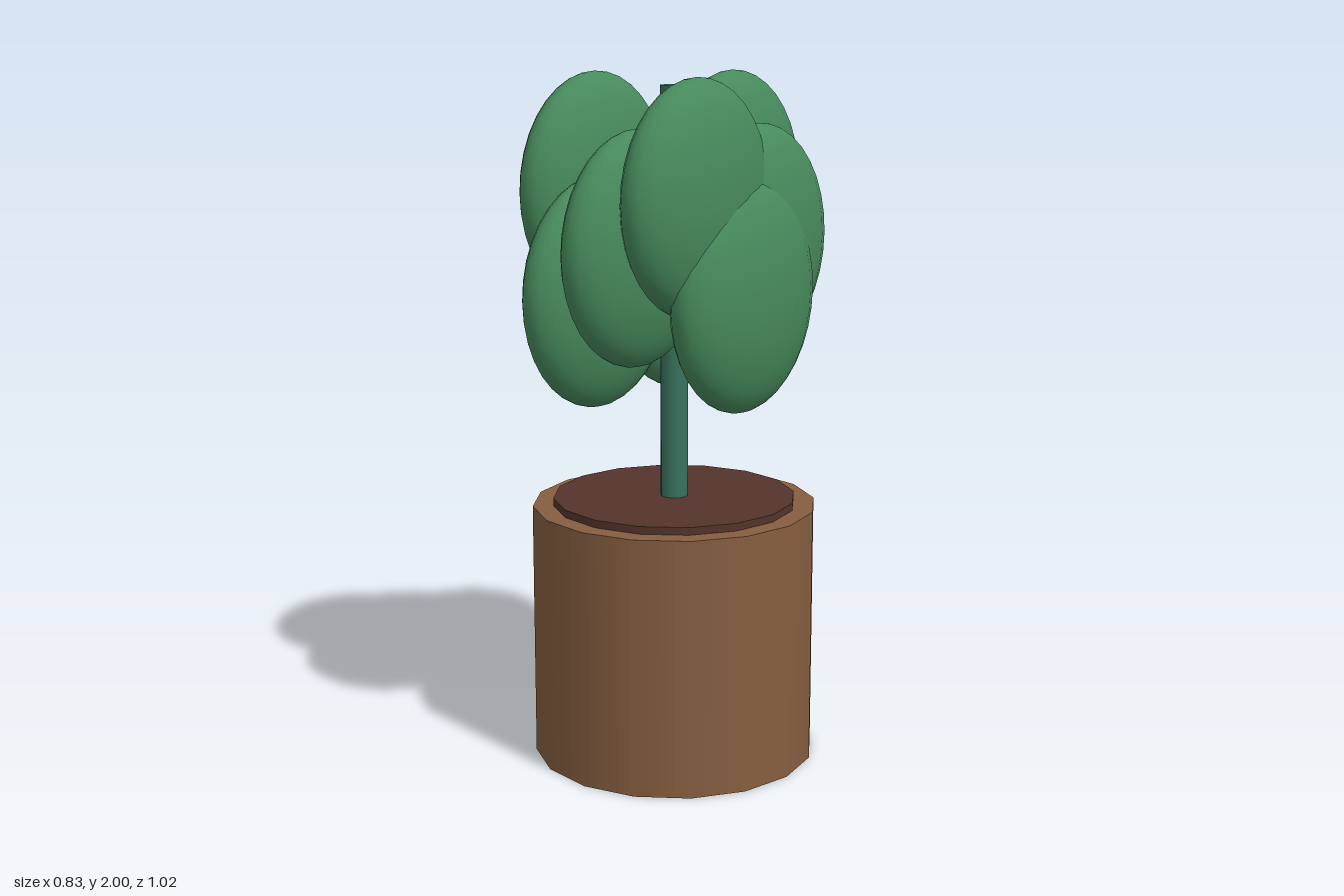
import * as THREE from 'three';

const material = (name, color) => {
  const m = new THREE.MeshStandardMaterial({ color });
  m.name = name;
  return m;
};

export function createModel() {
  const group = new THREE.Group();
  group.name = 'pottedPlant';

  const potBrown = material('potBrown', 0x855e40);
  const soilBrown = material('soilBrown', 0x54342c);
  const stemGreen = material('stemGreen', 0x39735f);
  const leafGreen = material('leafGreen', 0x478a5c);

  // Upright cylinder between two heights
  const column = (name, radius, bottom, top, sides, mat) => {
    const mesh = new THREE.Mesh(
      new THREE.CylinderGeometry(radius, radius, top - bottom, sides), mat);
    mesh.position.y = (bottom + top) / 2;
    mesh.name = name;
    group.add(mesh);
  };
  column('pot', 0.415, 0, 0.755, 16, potBrown);
  column('soil', 0.355, 0.735, 0.777, 16, soilBrown);
  column('stem', 0.04, 0.76, 1.965, 12, stemGreen);

  // Nine flattened leaf clumps in a ring, stepping through three heights
  const leaves = new THREE.Group();
  leaves.name = 'leaves';
  const leafGeometry = new THREE.SphereGeometry(1, 24, 18);
  const heights = [1.39, 1.67, 1.53];
  for (let i = 0; i < 9; i++) {
    const angle = (i / 9) * Math.PI * 2;
    const leaf = new THREE.Mesh(leafGeometry, leafGreen);
    leaf.scale.set(0.118, 0.33, 0.296);
    leaf.position.set(0.246 * Math.cos(angle), heights[i % 3], 0.217 * Math.sin(angle));
    leaf.name = `leaf${i + 1}`;
    leaves.add(leaf);
  }
  group.add(leaves);

  return group;
}
